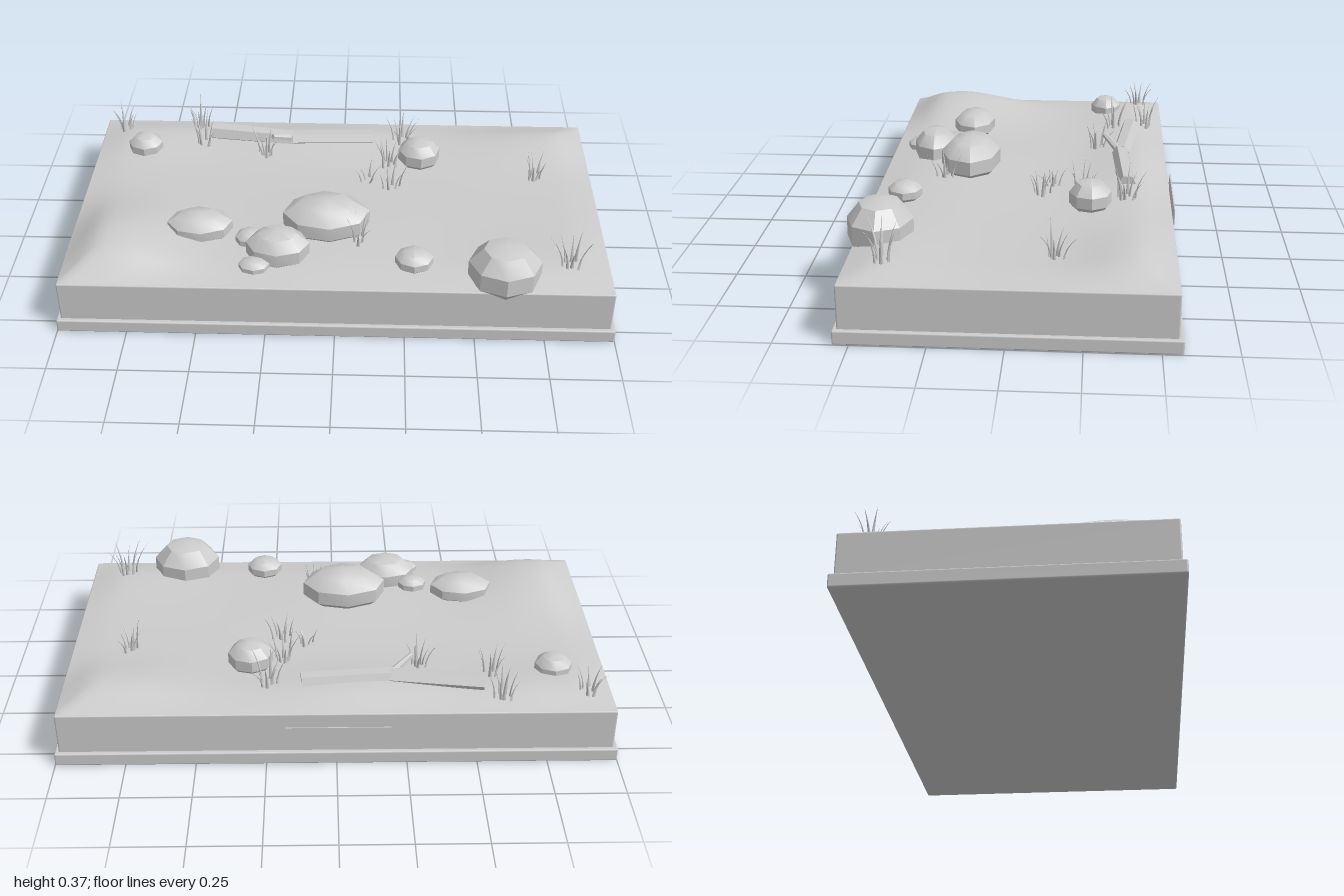
import * as THREE from 'three';
import { toCreasedNormals } from 'three/addons/utils/BufferGeometryUtils.js';
import { RoundedBoxGeometry } from 'three/addons/geometries/RoundedBoxGeometry.js';

const material = new THREE.MeshStandardMaterial({ color: 0xcccccc });
const HALF_X = 0.98, HALF_Z = 0.542, MID_Z = -0.0075, RIM = 0.206;

let seed = 7;
function random(min, max) {
  seed = (seed * 16807) % 2147483647;
  return min + (max - min) * (seed / 2147483647);
}

function add(parent, name, geometry, x = 0, y = 0, z = 0) {
  const mesh = new THREE.Mesh(geometry, material);
  mesh.name = name;
  mesh.position.set(x, y, z);
  parent.add(mesh);
  return mesh;
}

// Ground mounds: x, z, height, spread in x, spread in z
const mounds = [
  [-0.8, 0.32, 0.07, 0.25, 0.25],
  [-0.1, -0.42, 0.028, 0.35, 0.15],
  [0.8, -0.4, 0.035, 0.3, 0.16],
  [-0.75, -0.42, 0.022, 0.25, 0.16],
  [0.0, 0.25, 0.018, 0.4, 0.25],
  [0.75, 0.4, 0.018, 0.3, 0.2],
];

// Ground height, sinking to the rim at the border
function groundHeight(x, z) {
  const edge = Math.min(HALF_X - Math.abs(x), HALF_Z - Math.abs(z - MID_Z));
  const fade = Math.sin(Math.PI / 2 * THREE.MathUtils.clamp(edge / 0.14, 0, 1));
  let h = 0.01;
  for (const [mx, mz, a, sx, sz] of mounds) {
    h += a * Math.exp(-(((x - mx) / sx) ** 2) - ((z - mz) / sz) ** 2);
  }
  return RIM + fade * h;
}

function terrainGeometry() {
  const geo = new THREE.PlaneGeometry(HALF_X * 2, HALF_Z * 2, 64, 36);
  geo.rotateX(-Math.PI / 2).translate(0, 0, MID_Z);
  const p = geo.attributes.position;
  for (let i = 0; i < p.count; i++) p.setY(i, groundHeight(p.getX(i), p.getZ(i)));
  geo.computeVertexNormals();
  return geo;
}

// Squashed low sphere with an upright faceted band round its middle
function rockGeometry(rx, ry, rz, turn) {
  const geo = new THREE.SphereGeometry(1 / Math.sin(Math.PI * 0.4), 8, 5);
  geo.rotateY(turn).scale(rx, ry * Math.sin(Math.PI * 0.4), rz);
  return toCreasedNormals(geo, 0.6);
}

// Tapering blade that curves outward along +x
function bladeGeometry(height, lean) {
  const geo = new THREE.ConeGeometry(0.0075, height, 4, 4);
  geo.scale(0.6, 1, 1).translate(0, height / 2, 0);
  const p = geo.attributes.position;
  for (let i = 0; i < p.count; i++) {
    const t = p.getY(i) / height;
    p.setX(i, p.getX(i) + lean * t * t);
  }
  geo.computeVertexNormals();
  return geo;
}

function grassTuft(parent, x, z, height, blades) {
  const tuft = new THREE.Group();
  tuft.name = 'grassTuft';
  tuft.position.set(x, groundHeight(x, z) - 0.01, z);
  for (let i = 0; i < blades; i++) {
    const angle = (i + random(-0.3, 0.3)) / blades * Math.PI * 2;
    const out = random(0.01, 0.035);
    const blade = add(tuft, 'grassBlade',
      bladeGeometry(height * random(0.65, 1.05), random(0.015, 0.055)),
      Math.cos(angle) * out, 0, -Math.sin(angle) * out);
    blade.rotation.y = angle;
  }
  parent.add(tuft);
}

// Straight round length of wood between two points
function limb(parent, name, from, to, r0, r1, sides) {
  const a = new THREE.Vector3(...from), b = new THREE.Vector3(...to);
  const dir = b.clone().sub(a);
  const geo = toCreasedNormals(new THREE.CylinderGeometry(r1, r0, dir.length(), sides), 0.5);
  const mesh = add(parent, name, geo);
  mesh.position.copy(a).add(b).multiplyScalar(0.5);
  mesh.quaternion.setFromUnitVectors(new THREE.Vector3(0, 1, 0), dir.normalize());
}

export function createModel() {
  const model = new THREE.Group();
  model.name = 'landscapeBase';

  // Display base
  add(model, 'plinth', new RoundedBoxGeometry(2, 0.05, 1.125, 2, 0.006), 0, 0.025, MID_Z);
  add(model, 'body', new RoundedBoxGeometry(1.97, 0.165, 1.095, 2, 0.006), 0, 0.1225, MID_Z);
  add(model, 'backPlate', new THREE.BoxGeometry(0.37, 0.065, 0.004), -0.005, 0.128, -0.573);
  add(model, 'terrain', terrainGeometry());

  // Rocks: x, y, z, then half sizes in x, y, z
  const rocks = [
    [0.6, 0.245, 0.453, 0.13, 0.11, 0.115],
    [-0.04, 0.275, 0.205, 0.16, 0.085, 0.113],
    [-0.21, 0.25, 0.36, 0.115, 0.08, 0.085],
    [-0.505, 0.252, 0.235, 0.12, 0.058, 0.083],
    [-0.79, 0.238, -0.315, 0.068, 0.055, 0.062],
    [0.31, 0.255, -0.26, 0.082, 0.067, 0.077],
    [0.28, 0.25, 0.415, 0.068, 0.042, 0.062],
    [-0.315, 0.238, 0.29, 0.055, 0.036, 0.047],
    [-0.29, 0.23, 0.44, 0.055, 0.028, 0.044],
  ];
  rocks.forEach(([x, y, z, rx, ry, rz], i) => {
    add(model, 'rock', rockGeometry(rx, ry, rz, i % 2 ? 0.1 : 0), x, y, z);
  });

  // Fallen log with a bend and a side branch
  const log = new THREE.Group();
  log.name = 'fallenLog';
  limb(log, 'logHalf', [-0.53, 0.24, -0.42], [-0.195, 0.24, -0.375], 0.038, 0.034, 6);
  limb(log, 'logHalf', [-0.2, 0.24, -0.375], [0.125, 0.235, -0.396], 0.034, 0.034, 6);
  limb(log, 'logBranch', [-0.19, 0.245, -0.375], [-0.275, 0.29, -0.31], 0.016, 0.01, 6);
  model.add(log);

  // Grass tufts: x, z, height, number of blades
  const tufts = [
    [-0.9, -0.46, 0.12, 7], [-0.59, -0.48, 0.14, 8], [-0.56, -0.35, 0.14, 6],
    [-0.3, -0.28, 0.13, 8], [0.24, -0.39, 0.14, 8], [0.19, -0.23, 0.13, 8],
    [0.11, -0.12, 0.09, 5], [0.2, -0.08, 0.12, 7], [0.76, -0.15, 0.14, 7],
    [0.84, 0.41, 0.14, 8], [0.08, 0.29, 0.12, 7],
  ];
  tufts.forEach((t) => grassTuft(model, ...t));

  return model;
}
